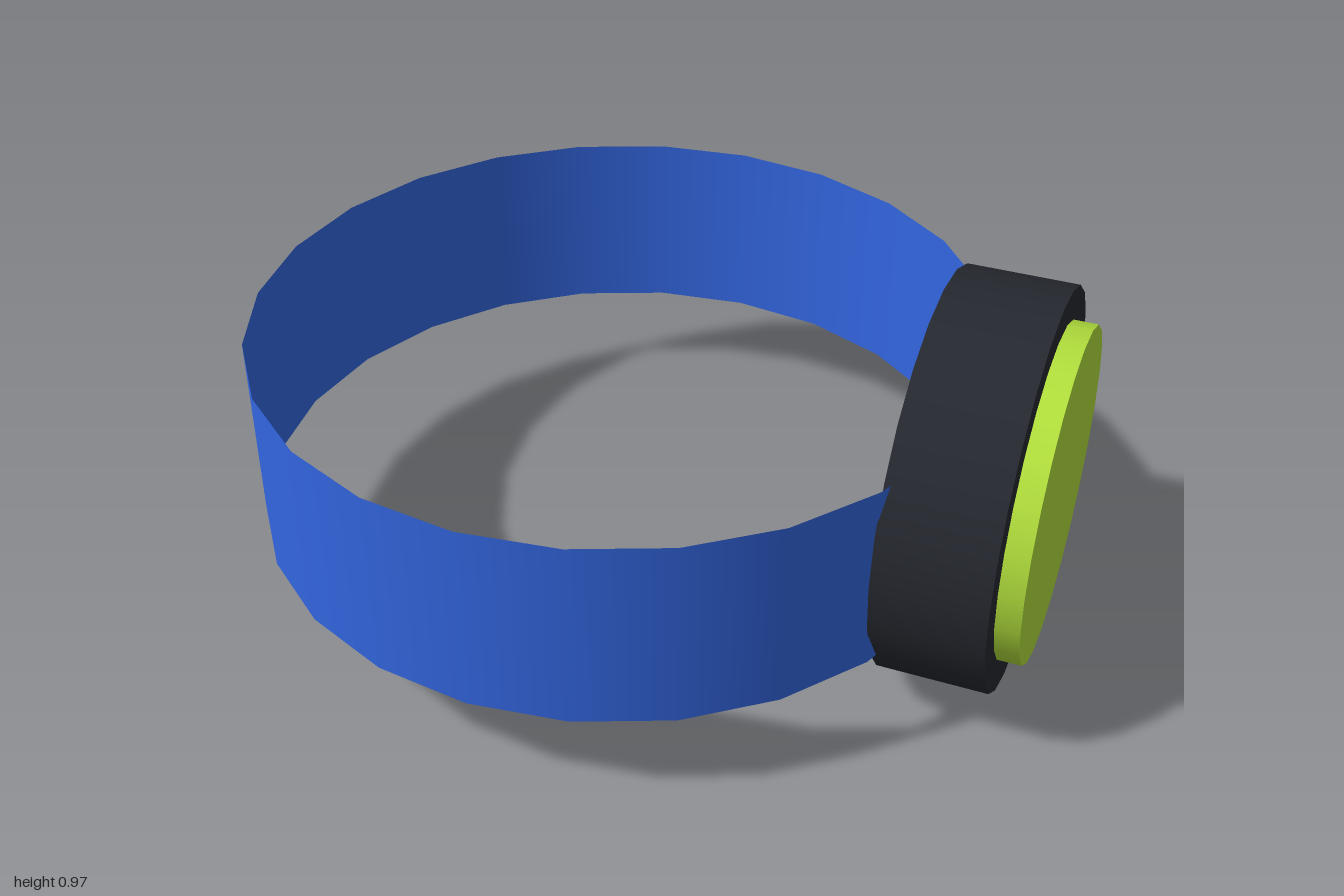
import * as THREE from 'three';

const SIDES = 24;

export function createModel() {
  const model = new THREE.Group();
  const centreY = 0.484;

  const add = (name, geometry, color, x, side = THREE.FrontSide) => {
    const material = new THREE.MeshStandardMaterial({ color, side });
    const mesh = new THREE.Mesh(geometry, material);
    mesh.name = name;
    mesh.position.set(x, centreY, 0);
    model.add(mesh);
  };

  // Disc lying along x, from x0 to x1
  const addDisc = (name, radius, x0, x1, color) => {
    const geometry = new THREE.CylinderGeometry(radius, radius, x1 - x0, SIDES);
    geometry.rotateZ(-Math.PI / 2);
    add(name, geometry, color, (x0 + x1) / 2);
  };

  // Thin open wrist band; its +x end runs inside the case
  const band = new THREE.CylinderGeometry(0.9, 0.9, 0.48, SIDES, 1, true);
  add('band', band, 0x3366e0, -0.1, THREE.DoubleSide);

  // Round case and the dial standing out of it
  addDisc('case', 0.484, 0.677, 0.942, 0x25282f);
  addDisc('dial', 0.403, 0.9, 1, 0xb2df3c);

  return model;
}
